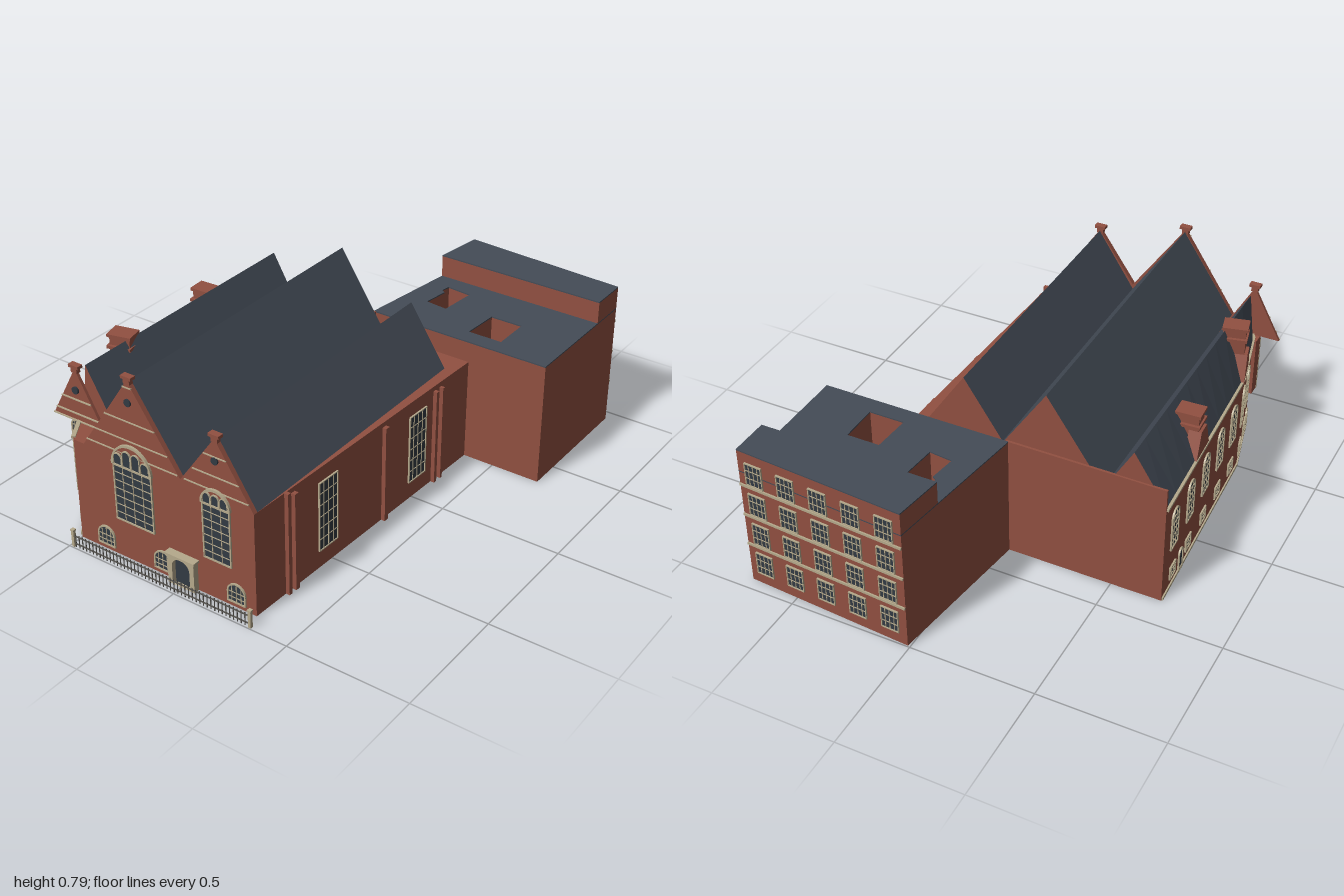
import * as THREE from 'three';
import { mergeGeometries } from 'three/addons/utils/BufferGeometryUtils.js';

const mat = (color) => new THREE.MeshStandardMaterial({ color });
const brick = mat(0x915041), slate = mat(0x444c57), stone = mat(0xb5a98c), glass = mat(0x323a43), iron = mat(0x55524e);

function add(parent, name, geo, material) {
  const m = new THREE.Mesh(geo, material);
  m.name = name;
  parent.add(m);
  return m;
}
// Box geometry standing on y
const boxGeo = (w, h, d, x, y, z) => new THREE.BoxGeometry(w, h, d).translate(x, y + h / 2, z);
const box = (parent, name, material, ...dims) => add(parent, name, boxGeo(...dims), material);

const poly = (pts) => new THREE.Shape(pts.map(([x, y]) => new THREE.Vector2(x, y)));
const extrude = (shape, depth, steps = 1) =>
  new THREE.ExtrudeGeometry(shape, { depth, steps, bevelEnabled: false, curveSegments: 10 });

// Block standing on a plan given as [x, z] corners
function block(parent, name, plan, y, h, material, holes = []) {
  const flip = (pts) => pts.map(([x, z]) => [x, -z]);
  const s = poly(flip(plan));
  s.holes = holes.map((p) => poly(flip(p)));
  return add(parent, name, extrude(s, h).rotateX(-Math.PI / 2).translate(0, y, 0), material);
}

// Group along a wall: local x runs from a to b, local z points outwards
function wallGroup(parent, name, a, b) {
  const g = new THREE.Group();
  g.name = name;
  g.position.set(a[0], 0, a[1]);
  g.rotation.y = Math.atan2(a[1] - b[1], b[0] - a[0]);
  g.userData.length = Math.hypot(b[0] - a[0], b[1] - a[1]);
  parent.add(g);
  return g;
}

// Rectangle with an elliptical head of the given rise
function archShape(w, h, rise, inset = 0) {
  const r = w / 2 - inset, s = new THREE.Shape();
  s.moveTo(-r, inset);
  s.lineTo(r, inset);
  s.lineTo(r, h - rise);
  if (rise > 0) s.absellipse(0, h - rise, r, rise - inset, 0, Math.PI, false);
  else { s.lineTo(r, h - inset); s.lineTo(-r, h - inset); }
  s.closePath();
  return s;
}

// Glazed window with frame and glazing bars
function windowAt(parent, x, y, z, w, h, { rise = 0, cols = 2, rows = 3, t = 0.006 } = {}) {
  const g = new THREE.Group();
  g.name = 'window';
  g.position.set(x, y, z);
  parent.add(g);
  add(g, 'pane', extrude(archShape(w, h, rise, t / 2), 0.003), glass);
  const frame = archShape(w, h, rise);
  frame.holes.push(archShape(w, h, rise, t));
  const parts = [extrude(frame, 0.007)];
  const straight = h - rise, bar = (...d) => parts.push(boxGeo(...d).toNonIndexed());
  for (let i = 1; i < cols; i++) bar(0.003, straight + rise * 0.75, 0.003, -w / 2 + (w * i) / cols, 0, 0.004);
  for (let j = 1; j <= rows; j++) if (j < rows || rise) bar(w, 0.0025, 0.003, 0, (straight * j) / rows - 0.001, 0.004);
  add(g, 'frame', mergeGeometries(parts), stone);
  return g;
}

// Great window: gridded lower part, brick tympanum with arched lights
function greatWindow(parent, x, y, z, w, straight, rise, lights) {
  windowAt(parent, x, y, z, w, straight, { cols: lights, rows: 7 });
  const head = archShape(w, rise, rise), ring = archShape(w + 0.008, rise + 0.006, rise + 0.006);
  ring.holes.push(archShape(w, rise, rise - 0.004, 0.004));
  add(parent, 'tympanum', extrude(head, 0.004).translate(x, y + straight, z), brick);
  add(parent, 'archMoulding', extrude(ring, 0.01).translate(x, y + straight, z), stone);
  const lw = (w - 0.012) / lights;
  for (let i = 0; i < lights; i++) {
    const lx = x + (i - (lights - 1) / 2) * lw;
    const lh = rise * (Math.abs(i - (lights - 1) / 2) < 1.1 ? 0.76 : 0.55);
    windowAt(parent, lx, y + straight, z + 0.003, lw, lh, { rise: lw / 2, cols: 1, rows: 0, t: 0.004 });
  }
}

// Finial, round light and stone bands on a front gable
function gableDress(parent, x, base, peak, half, z, bands) {
  const g = new THREE.Group();
  g.name = 'gableTrim';
  parent.add(g);
  box(g, 'finialNeck', brick, 0.028, 0.02, 0.02, x, peak - 0.015, z);
  box(g, 'finialCap', brick, 0.046, 0.012, 0.026, x, peak + 0.005, z);
  add(g, 'roundLight', new THREE.CylinderGeometry(0.015, 0.015, 0.012, 16).rotateX(Math.PI / 2).translate(x, peak - 0.088, z + 0.008), glass);
  for (const y of bands) box(g, 'band', stone, 2 * half * (peak - y) / (peak - base), 0.004, 0.006, x, y, z + 0.009);
}

// Gabled roof: brick ends, slate slopes
const gableRoof = (parent, name, pts, zb, zf, steps = 1) =>
  add(parent, name, extrude(poly(pts), zf - zb, steps).translate(0, 0, zb), [brick, slate]);

export function createModel() {
  const model = new THREE.Group();

  // Hall body
  const A = [-0.705, -0.37], B = [-0.66, 0.5], C = [-0.59, 0.79], D = [-0.51, 0.92], E = [0.32, 0.92], F = [0.37, -0.37];
  block(model, 'hall', [D, E, F, A, B, C], 0, 0.43, brick);
  box(model, 'backParapet', brick, 0.64, 0.52, 0.01, -0.385, 0, -0.368);

  // Three parallel roofs; the left one follows the slanting wall
  gableRoof(model, 'centreRoof', [[-0.45, 0.43], [0, 0.43], [-0.22, 0.765]], -0.355, 0.92);
  gableRoof(model, 'rightRoof', [[0, 0.43], [0.32, 0.43], [0.16, 0.67]], -0.275, 0.92);
  const left = gableRoof(model, 'leftRoof', [[-0.7, 0.43], [-0.45, 0.43], [-0.57, 0.64]], -0.365, 0.77, 12);
  const p = left.geometry.attributes.position;
  for (let i = 0; i < p.count; i++) {
    const z = p.getZ(i);
    if (p.getX(i) < -0.6) p.setX(i, z < 0.5 ? -0.66 - 0.045 * (0.5 - z) / 0.87 : -0.66 + 0.07 * (z - 0.5) / 0.29);
  }
  left.geometry.computeVertexNormals();

  // Front wall with gables
  const front = new THREE.Group();
  front.name = 'front';
  model.add(front);
  const outline = [[-0.5, 0], [0.32, 0], [0.32, 0.43], [0.16, 0.675], [0, 0.45], [-0.22, 0.77], [-0.45, 0.43], [-0.5, 0.43]];
  add(front, 'frontWall', extrude(poly(outline), 0.02).translate(0, 0, 0.91), brick);
  gableDress(front, -0.22, 0.43, 0.77, 0.23, 0.922, [0.46, 0.52, 0.6, 0.74]);
  gableDress(front, 0.16, 0.43, 0.675, 0.16, 0.922, [0.46, 0.52, 0.6]);
  greatWindow(front, -0.22, 0.165, 0.93, 0.18, 0.24, 0.095, 4);
  greatWindow(front, 0.157, 0.165, 0.93, 0.125, 0.235, 0.065, 3);
  for (const x of [-0.37, -0.1, 0.235]) windowAt(front, x, 0.02, 0.93, 0.082, 0.085, { rise: 0.04, cols: 4, rows: 2 });

  // Stone entrance
  const portal = archShape(0.12, 0.125, 0);
  const opening = archShape(0.08, 0.118, 0.04);
  portal.holes.push(opening);
  add(front, 'portal', extrude(portal, 0.025).translate(0, 0, 0.93), stone);
  add(front, 'door', extrude(opening, 0.006).translate(0, 0, 0.93), glass);
  box(front, 'portalCornice', stone, 0.135, 0.01, 0.035, 0, 0.123, 0.945);

  // Railing with end posts
  const rail = [boxGeo(0.82, 0.004, 0.004, -0.073, 0.045, 0.99), boxGeo(0.82, 0.004, 0.004, -0.073, 0.012, 0.99)];
  for (let i = 0; i <= 48; i++) rail.push(boxGeo(0.003, 0.055, 0.003, -0.475 + i * 0.0168, 0, 0.99));
  add(front, 'railing', mergeGeometries(rail), iron);
  for (const x of [-0.485, 0.338]) {
    box(front, 'railingPost', stone, 0.012, 0.072, 0.012, x, 0, 0.99);
    box(front, 'postCap', stone, 0.016, 0.006, 0.016, x, 0.07, 0.99);
  }

  // Corner gable with its tall window
  add(model, 'cornerGable', extrude(poly([[-0.69, 0.43], [-0.45, 0.43], [-0.57, 0.65]]), 0.012).translate(0, 0, 0.814), brick);
  gableDress(model, -0.57, 0.43, 0.65, 0.12, 0.82, [0.43, 0.46, 0.52]);
  box(model, 'cornerBay', brick, 0.05, 0.26, 0.05, -0.585, 0.17, 0.795);
  windowAt(model, -0.585, 0.17, 0.82, 0.052, 0.26, { rise: 0.025, cols: 3, rows: 7 });

  // Street side walls
  const street = [
    { a: A, b: B, wins: [0.1, 0.27, 0.44, 0.61, 0.77], doors: [0.19], chimney: 0.37, top: 0.605 },
    { a: B, b: C, wins: [0.04, 0.18], doors: [0.255], chimney: 0.04, top: 0.65 },
    { a: C, b: D, wins: [0.1], doors: [] },
  ];
  for (const { a, b, wins, doors, chimney, top } of street) {
    const g = wallGroup(model, 'streetWall', a, b), L = g.userData.length;
    box(g, 'cornice', stone, L, 0.01, 0.016, L / 2, 0.425, 0);
    box(g, 'plinth', stone, L, 0.012, 0.012, L / 2, 0, 0);
    for (const x of wins) {
      windowAt(g, x, 0.19, 0, 0.075, 0.18, { rise: 0.036, cols: 3, rows: 5 });
      windowAt(g, x, 0.04, 0, 0.06, 0.06, { cols: 3, rows: 3 });
    }
    for (const x of doors) windowAt(g, x, 0, 0, 0.045, 0.105, { rise: 0.02, cols: 1, rows: 0 });
    if (!chimney) continue;
    // Stepped dormer gable carrying a chimney
    const dormer = poly([[-0.07, 0.43], [0.07, 0.43], [0.03, 0.54], [-0.03, 0.54]]);
    add(g, 'dormerGable', extrude(dormer, 0.05).translate(chimney, 0, -0.045), brick);
    box(g, 'chimney', brick, 0.06, top - 0.47, 0.085, chimney, 0.47, -0.05);
    box(g, 'chimneyStep', brick, 0.085, 0.012, 0.1, chimney, top - 0.05, -0.05);
    box(g, 'chimneyCap', brick, 0.075, 0.012, 0.1, chimney, top - 0.004, -0.05);
  }

  // Plain side wall: two tall windows, pilasters and downpipes
  const side = wallGroup(model, 'sideWall', E, F);
  for (const x of [0.395, 0.95]) windowAt(side, x, 0.075, 0, 0.11, 0.295, { cols: 4, rows: 6, t: 0.004 });
  for (const [x, w, h] of [[0.16, 0.016, 0.43], [0.2, 0.02, 0.41], [0.735, 0.022, 0.41], [1.06, 0.016, 0.41], [1.1, 0.012, 0.41]])
    box(side, 'pilaster', brick, w, h, 0.03, x, 0, 0.002);

  // Rear annex with two light wells and a raised back range
  const P = [0.01, -0.995], Q = [0.705, -0.95];
  const plan = [[-0.075, -0.37], [0.705, -0.37], Q, P];
  const raised = [[-0.018, -0.79], [0.705, -0.79], Q, P];
  const wells = [
    [[0.06, -0.72], [0.165, -0.71], [0.15, -0.55], [0.055, -0.56], [0.07, -0.67], [0.052, -0.68]],
    [[0.335, -0.6], [0.47, -0.6], [0.47, -0.44], [0.325, -0.44]],
  ];
  block(model, 'annex', plan, 0, 0.515, brick, wells);
  block(model, 'annexRoof', plan, 0.515, 0.005, slate, wells);
  block(model, 'backRange', raised, 0.52, 0.09, brick);
  block(model, 'backRangeRoof', raised, 0.61, 0.005, slate);

  // Annex back: four storeys of paired windows between stone bands
  const back = wallGroup(model, 'annexBack', Q, P), L = back.userData.length;
  for (let r = 0; r < 4; r++) {
    const y = 0.05 + r * 0.14;
    for (let c = 0; c < 5; c++) windowAt(back, L * (c + 0.5) / 5, y, 0, 0.075, 0.1, { cols: 4, rows: 3, t: 0.004 });
    if (r) box(back, 'stringCourse', stone, L, 0.01, 0.012, L / 2, 0.035 + r * 0.14, 0);
  }
  return model;
}
